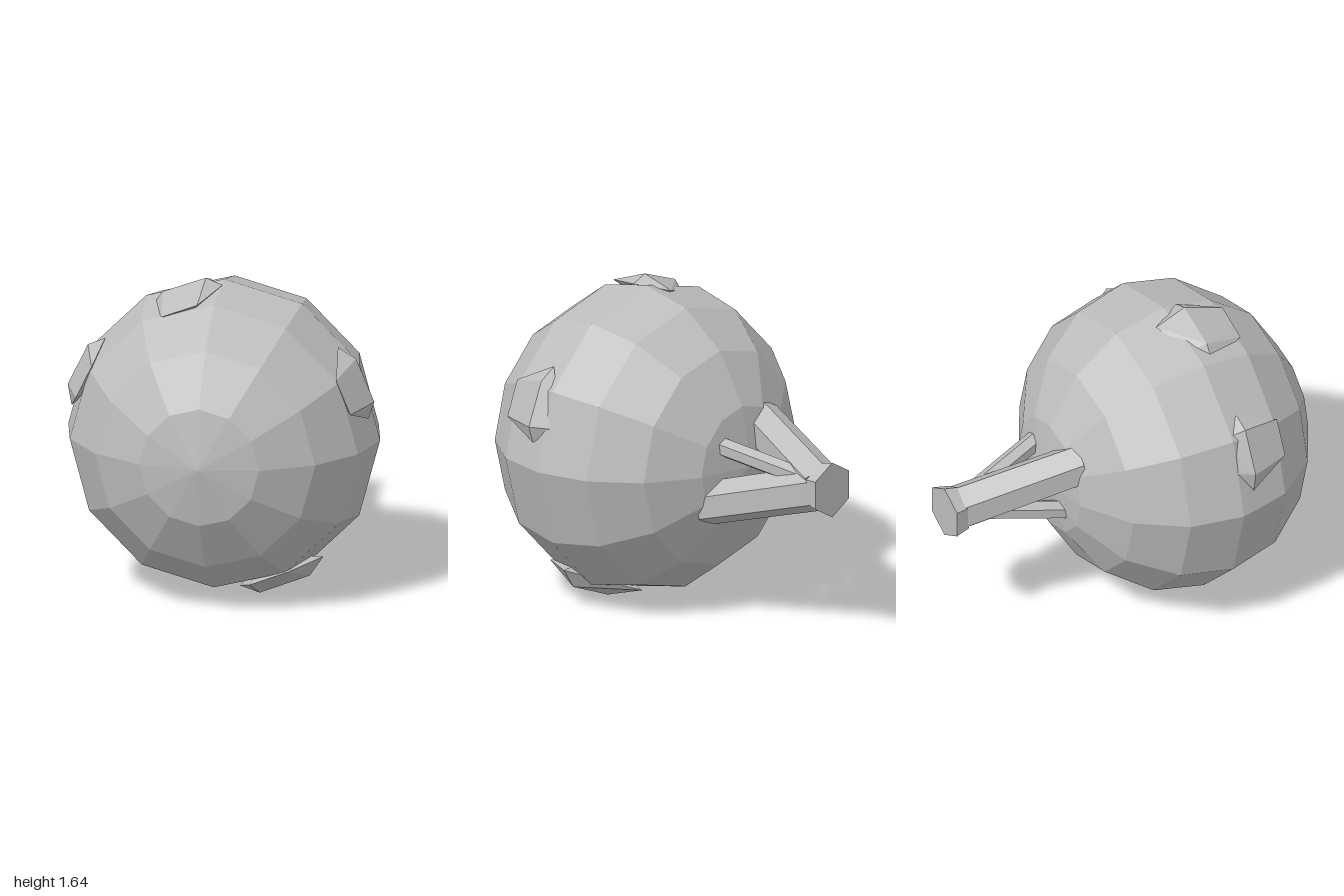
import * as THREE from 'three';
import { ConvexGeometry } from 'three/addons/geometries/ConvexGeometry.js';

const CENTER = new THREE.Vector3(0, 0.82, 0.28);

export function createModel() {
  const model = new THREE.Group();
  const grey = new THREE.MeshStandardMaterial({ color: 0xbdbdbd });

  // Adds a mesh with hard facets
  function add(name, geometry) {
    const flat = geometry.index ? geometry.toNonIndexed() : geometry;
    flat.computeVertexNormals();
    const mesh = new THREE.Mesh(flat, grey);
    mesh.name = name;
    model.add(mesh);
    return mesh;
  }

  // Faceted ball with its poles along z, slightly flattened
  const ball = new THREE.SphereGeometry(0.8, 12, 8);
  ball.rotateX(Math.PI / 2).scale(1, 1, 0.9);
  add('ball', ball).position.copy(CENTER);

  // Angular lumps around the ball: [angle, radius, z] relative to its centre
  const lump = [
    [32.5, 0.82, 0.075], [15.7, 0.815, 0.075], // outer ridge
    [31.5, 0.74, 0.295], [16.6, 0.735, 0.295], // front edge
    [39.8, 0.778, 0.075], [9.8, 0.765, 0.075], // side tips
    [16.8, 0.763, -0.04], [31.2, 0.772, 0], // rear tips
    [24, 0.65, 0.1],
  ];
  const placements = [
    { turn: 0, lift: 0, tilt: 0, spread: 1, rear: 1 },
    { turn: 79.8, lift: -0.004, tilt: 0.002, spread: 1, rear: 2.4 },
    { turn: 131.5, lift: 0, tilt: 0, spread: 1, rear: 1.2 },
    { turn: -91, lift: 0.022, tilt: 0, spread: 1.13, rear: 4 },
  ];
  placements.forEach(({ turn, lift, tilt, spread, rear }, i) => {
    const points = lump.map(([angle, radius, z]) => {
      const offset = angle - 24;
      const a = THREE.MathUtils.degToRad(24 + offset * spread + turn);
      // the front edge and rear tips stay sunk in the ball
      const r = radius + (z === 0.075 ? lift : Math.min(lift, 0)) - tilt * offset;
      return new THREE.Vector3(r * Math.cos(a), r * Math.sin(a), z < 0 ? z * rear : z);
    });
    add('lump' + (i + 1), new ConvexGeometry(points)).position.copy(CENTER);
  });

  // Six-sided bar between two points, a corner pointing up
  function bar(name, from, to, rFrom, rTo) {
    const a = new THREE.Vector3(...from), b = new THREE.Vector3(...to);
    const g = new THREE.CylinderGeometry(rTo, rFrom, a.distanceTo(b), 6);
    g.rotateX(Math.PI / 2);
    const mesh = add(name, g);
    mesh.position.copy(a).add(b).multiplyScalar(0.5);
    mesh.lookAt(b);
  }

  // Rear struts: two thick and two thin, crossing diagonally
  for (const s of [1, -1]) {
    bar('thickStrut', [0.005 * s, 0.82 - 0.005 * s, -0.92], [0.2 * s, 0.82 - 0.178 * s, -0.31], 0.118, 0.112);
    bar('thinStrut', [0.01 * s, 0.82 + 0.02 * s, -0.9], [0.15 * s, 0.82 + 0.13 * s, -0.36], 0.05, 0.05);
  }

  // Hexagonal end piece
  bar('endCap', [0, 0.82, -1], [0, 0.82, -0.92], 0.145, 0.125);

  return model;
}
